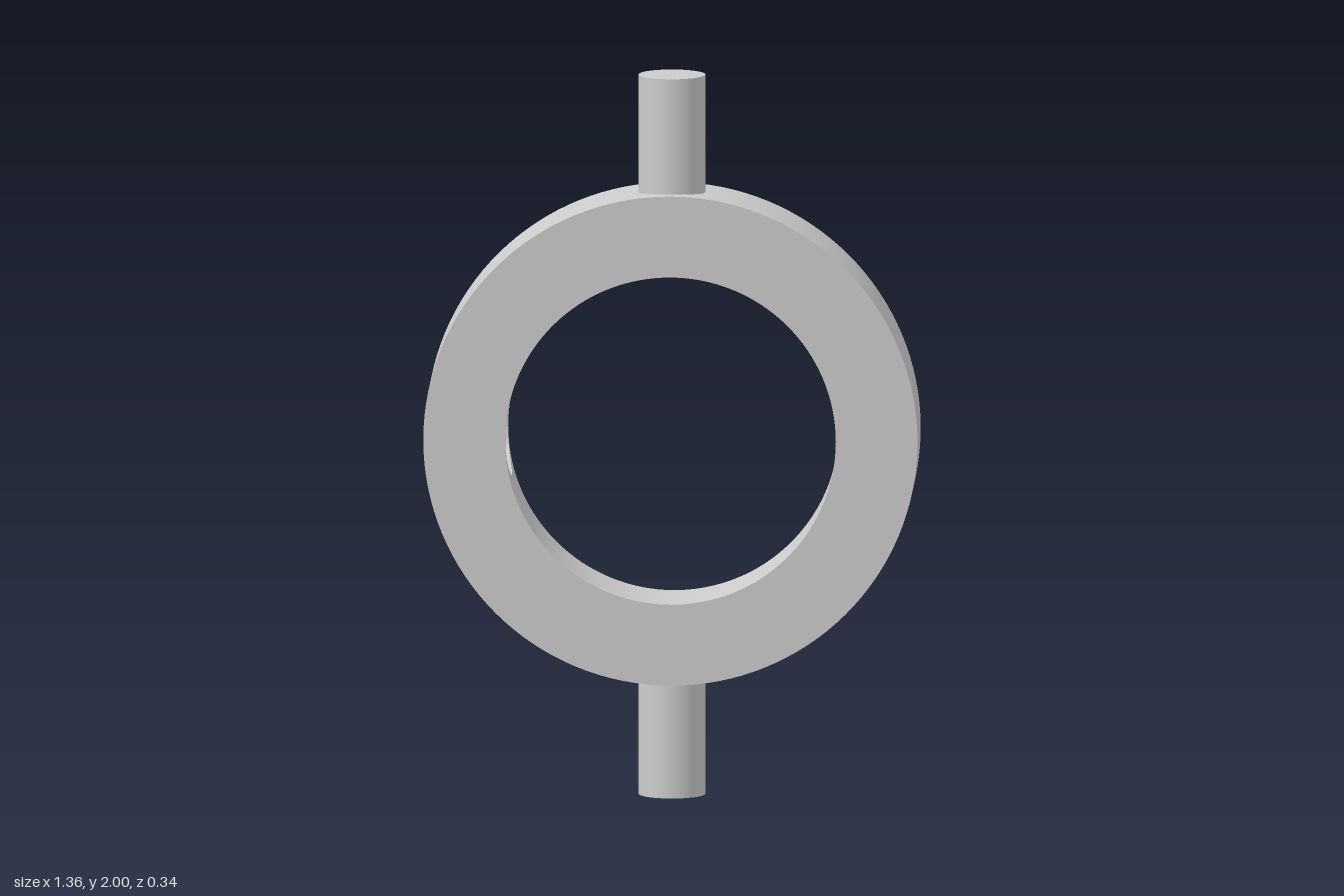
import * as THREE from 'three';
import { toCreasedNormals } from 'three/addons/utils/BufferGeometryUtils.js';
import { ParametricGeometry } from 'three/addons/geometries/ParametricGeometry.js';

const BORE = 0.455, OUTER = 0.68, FRONT = 0.167, BACK = -0.105; // ring radii and z limits
const HOLE = 0.115, HOLE_Z = 0.031, HOLE_END = 0.61;            // blind holes in the bore
const PATCH = 0.3;                                              // half angle of bore patch round a hole
const SLOT = 0.113;                                             // half width of a slot
const lerp = THREE.MathUtils.lerp;

// Tooth section as [radius, z], from the outer base over the lip to the inner base
const TOOTH = [
  [0.638, -0.127], [0.625, -0.142], [0.615, -0.157], [0.61, -0.17],
  [0.5, -0.17], [0.497, -0.157], [0.49, -0.142], [0.482, -0.127],
];

// Lathe about the z axis
function ring(points, segments, start = 0, length = Math.PI * 2) {
  const profile = points.map(([r, z]) => new THREE.Vector2(r, z));
  const geo = new THREE.LatheGeometry(profile, segments, start, length);
  return toCreasedNormals(geo.rotateX(Math.PI / 2), 0.35);
}

// One raised quarter of the lip, ending in parallel-sided slots
function toothGeometry() {
  const steps = 28, n = TOOTH.length, pos = [], index = [];
  for (let j = 0; j <= steps; j++) {
    for (const [r, z] of TOOTH) {
      const edge = Math.asin(SLOT / r);
      const a = lerp(edge, Math.PI / 2 - edge, j / steps);
      pos.push(r * Math.cos(a), r * Math.sin(a), z);
    }
  }
  for (let j = 0; j < steps; j++) {
    for (let i = 0; i < n - 1; i++) {
      const a = j * n + i, b = a + 1, c = a + n, d = c + 1;
      index.push(a, b, c, b, d, c);
    }
  }
  // slot walls at both ends
  const e = steps * n;
  for (let i = 0; i < 3; i++) {
    const a = i, b = i + 1, c = n - 1 - i, d = n - 2 - i;
    index.push(a, c, b, b, c, d);
    index.push(e + a, e + b, e + c, e + b, e + d, e + c);
  }
  const geo = new THREE.BufferGeometry();
  geo.setAttribute('position', new THREE.Float32BufferAttribute(pos, 3));
  geo.setIndex(index);
  return toCreasedNormals(geo, 0.45);
}

// Point on the unit square's outline, counterclockwise
function squarePoint(u) {
  const corners = [[1, -1], [1, 1], [-1, 1], [-1, -1]];
  const k = Math.floor(u * 4), f = u * 4 - k;
  const a = corners[k % 4], b = corners[(k + 1) % 4];
  return [lerp(a[0], b[0], f), lerp(a[1], b[1], f)];
}

export function createModel() {
  const model = new THREE.Group();
  model.name = 'slottedRingWithPins';
  const material = new THREE.MeshStandardMaterial({ color: 0xcccccc, side: THREE.DoubleSide });
  const add = (parent, name, geo) => {
    const mesh = new THREE.Mesh(geo, material);
    mesh.name = name;
    parent.add(mesh);
    return mesh;
  };
  const body = new THREE.Group();
  body.name = 'ring';
  body.position.y = 1;
  model.add(body);

  // Ring shell: back face with concave fillets, rim and front face
  add(body, 'ringShell', ring([
    [BORE, BACK], [0.47, -0.113], [0.482, -0.127],
    [0.638, -0.127], [0.658, -0.115], [OUTER, BACK],
    [OUTER, FRONT], [BORE, FRONT],
  ], 128));

  // Four raised lip sections with slots between them
  const tooth = toothGeometry();
  for (let i = 0; i < 4; i++) {
    add(body, 'lipSection', tooth).rotation.z = i * Math.PI / 2;
  }

  // Bore wall above and below the side holes
  for (const start of [Math.PI / 2, Math.PI * 1.5]) {
    add(body, 'boreWall', ring([[BORE, FRONT], [BORE, BACK]], 52, start + PATCH, Math.PI - 2 * PATCH));
  }

  // Blind hole with the bore patch around it, on each side
  const halfY = BORE * Math.sin(PATCH), halfZ = (FRONT - BACK) / 2;
  const onBore = (y) => Math.sqrt(BORE * BORE - y * y);
  const patch = new ParametricGeometry((u, v, p) => {
    const [sy, sz] = squarePoint(u), len = Math.hypot(sy, sz);
    const y = lerp(HOLE * sy / len, halfY * sy, v);
    p.set(onBore(y), y, HOLE_Z + lerp(HOLE * sz / len, halfZ * sz, v));
  }, 64, 4);
  const wall = new ParametricGeometry((u, v, p) => {
    const a = u * Math.PI * 2, y = HOLE * Math.cos(a);
    p.set(lerp(HOLE_END, onBore(y), v), y, HOLE_Z + HOLE * Math.sin(a));
  }, 64, 2);
  const floor = new THREE.CircleGeometry(HOLE, 64).rotateY(-Math.PI / 2).translate(HOLE_END, 0, HOLE_Z);
  for (const [name, turn] of [['leftHole', 0], ['rightHole', Math.PI]]) {
    const hole = new THREE.Group();
    hole.name = name;
    hole.rotation.z = turn;
    add(hole, 'borePatch', patch);
    add(hole, 'holeWall', wall);
    add(hole, 'holeFloor', floor);
    body.add(hole);
  }

  // Pins at top and bottom, seated in the rim
  const pin = new THREE.CylinderGeometry(0.092, 0.092, 0.36, 48);
  for (const [name, side] of [['topPin', 1], ['bottomPin', -1]]) {
    add(body, name, pin).position.set(0, side * 0.82, 0.034);
  }
  return model;
}
